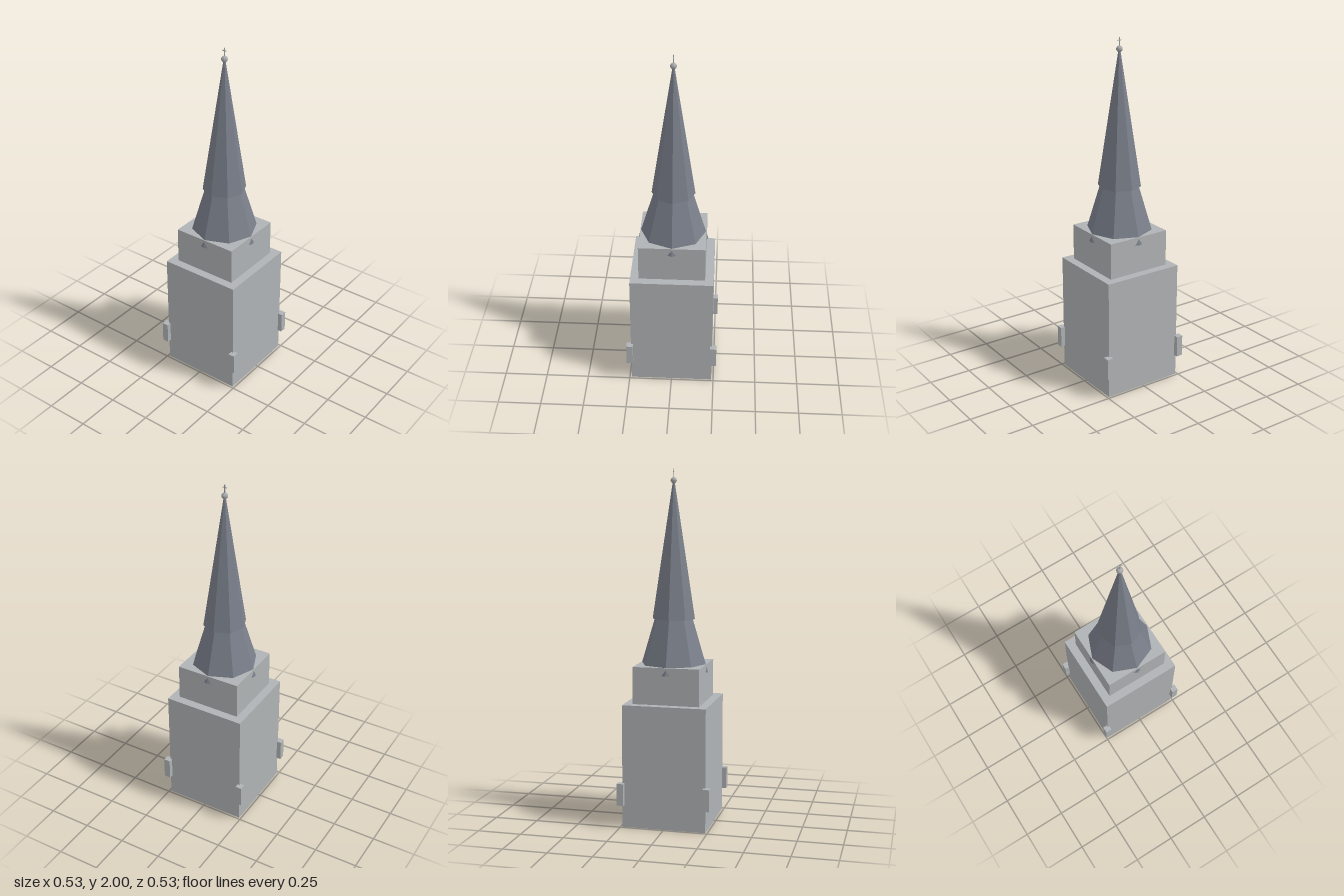
import * as THREE from 'three';

export function createModel() {
  const model = new THREE.Group();
  model.name = 'churchTower';

  const material = (name, color) => {
    const m = new THREE.MeshStandardMaterial({ color, flatShading: true });
    m.name = name;
    return m;
  };
  const stone = material('stone', 0xb0b3b5);
  const slate = material('slate', 0x7b808b);
  const metal = material('metal', 0xa8aaac);

  const add = (name, geometry, mat, x, y, z) => {
    const mesh = new THREE.Mesh(geometry, mat);
    mesh.name = name;
    mesh.position.set(x, y, z);
    model.add(mesh);
  };
  // Box and eight-sided frustum given by their bottom and top heights
  const box = (name, w, d, y0, y1, mat, x = 0, z = 0) =>
    add(name, new THREE.BoxGeometry(w, y1 - y0, d), mat, x, (y0 + y1) / 2, z);
  const frustum = (name, rBottom, rTop, y0, y1) =>
    add(name, new THREE.CylinderGeometry(rTop, rBottom, y1 - y0, 8), slate, 0, (y0 + y1) / 2, 0);

  // Square tower and belfry
  box('towerBase', 0.477, 0.477, 0, 0.7, stone);
  box('belfry', 0.38, 0.38, 0.7, 0.91, stone);

  // Corner posts
  for (const x of [-1, 1]) {
    for (const z of [-1, 1]) {
      box('cornerPost', 0.038, 0.038, 0.13, 0.255, stone, x * 0.246, z * 0.246);
    }
  }

  // Spire: flared skirt, its corners just piercing the belfry walls, then a tall needle
  frustum('spireSkirt', 0.2, 0.109, 0.865, 1.17);
  frustum('spireNeedle', 0.123, 0.004, 1.165, 1.94);

  // Ball and cross
  add('finialBall', new THREE.SphereGeometry(0.018, 12, 8), metal, 0, 1.937, 0);
  box('crossUpright', 0.004, 0.004, 1.95, 2, metal);
  box('crossArm', 0.026, 0.004, 1.982, 1.986, metal);

  return model;
}
